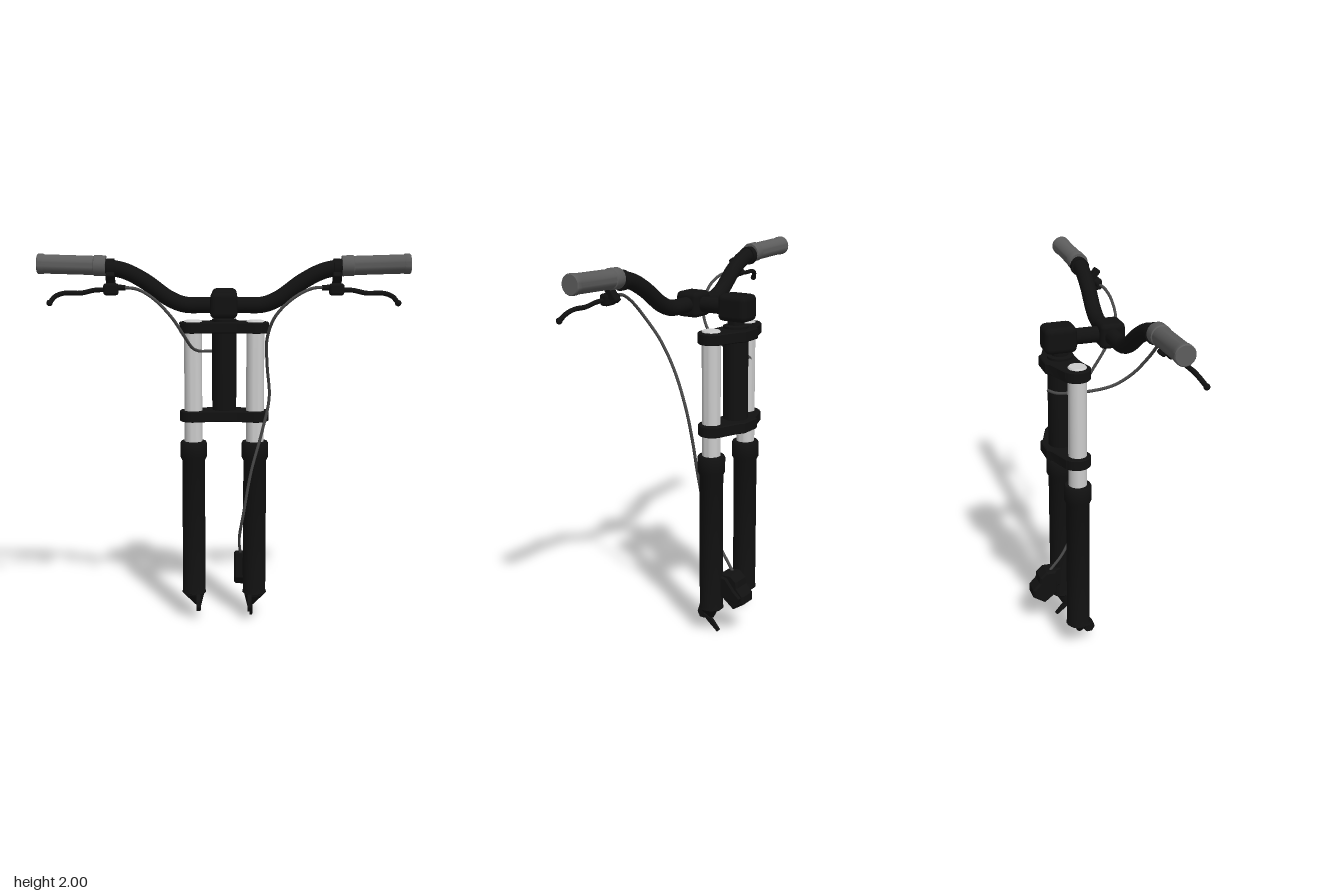
import * as THREE from 'three';
import { toCreasedNormals } from 'three/addons/utils/BufferGeometryUtils.js';
import { RoundedBoxGeometry } from 'three/addons/geometries/RoundedBoxGeometry.js';

const mat = (color) => new THREE.MeshStandardMaterial({ color });
const black = mat(0x111111), rubber = mat(0x5c5c5c), steel = mat(0xcccccc), cableMat = mat(0x4a4a4a);
const V = (p) => new THREE.Vector3(...p);

export function createModel() {
  const root = new THREE.Group();
  root.name = 'suspensionFork';

  const add = (name, geo, material, pos = [0, 0, 0]) => {
    const m = new THREE.Mesh(geo, material);
    m.name = name;
    m.position.set(...pos);
    root.add(m);
    return m;
  };
  // Upright turned part from [radius, y] pairs
  const turned = (name, pts, material, x, z, sides = 32) =>
    add(name, toCreasedNormals(new THREE.LatheGeometry(pts.map((p) => new THREE.Vector2(...p)), sides), 0.6), material, [x, 0, z]);
  // Smooth tube through points
  const tube = (name, pts, r, material, seg = 60, sides = 10) =>
    add(name, new THREE.TubeGeometry(new THREE.CatmullRomCurve3(pts.map(V)), seg, r, sides), material);
  // Side profile of [z, y] points, extruded across x about its centre
  const sidePlate = (name, pts, width, x, bevel = 0) => {
    const g = new THREE.ExtrudeGeometry(new THREE.Shape(pts.map((p) => new THREE.Vector2(...p))), {
      depth: width - 2 * bevel, bevelEnabled: bevel > 0, bevelSize: bevel, bevelThickness: bevel, bevelOffset: -bevel, bevelSegments: 1,
    });
    g.translate(0, 0, bevel - width / 2).rotateY(-Math.PI / 2);
    return add(name, g, black, [x, 0, 0]);
  };

  const legX = 0.166, legZ = -0.1;

  // Fork legs
  for (const s of [-1, 1]) {
    const x = s * legX;
    turned('stanchion', [[0, 0.95], [0.048, 0.95], [0.048, 1.645], [0.043, 1.652], [0, 1.652]], steel, x, legZ);
    turned('lowerLeg', [[0, 0.14], [0.055, 0.14], [0.066, 0.15], [0.062, 0.165], [0.062, 0.895], [0.072, 0.915],
      [0.072, 0.99], [0.066, 1.0], [0, 1.0]], black, x, legZ);

    // Foot tapers towards the wheel side
    const foot = new THREE.CylinderGeometry(0.055, 0.012, 0.07, 20);
    const p = foot.attributes.position;
    for (let i = 0; i < p.count; i++) if (p.getY(i) < 0) p.setX(i, p.getX(i) - s * 0.026);
    foot.computeVertexNormals();
    add('legFoot', foot, black, [x, 0.108, legZ + 0.015]);
    sidePlate('dropout', [[-0.03, 0.15], [-0.01, 0.12], [0, 0.09], [-0.015, 0.062], [-0.045, 0.06],
      [-0.075, 0.095], [-0.13, 0.13], [-0.13, 0.15]], 0.022, s * 0.14);
  }
  sidePlate('axleLever', [[-0.045, 0.09], [-0.06, 0.06], [-0.13, 0.003], [-0.142, 0.014], [-0.1, 0.065]], 0.014, 0.15);

  // Crowns: plan outline mirrored about the middle (x, -z)
  const crown = new THREE.Shape();
  crown.moveTo(-0.06, 0.235);
  crown.lineTo(-0.08, 0.215);
  crown.lineTo(-0.2, 0.172);
  crown.absarc(-legX, 0.105, 0.073, 2.05, 4.75, false);
  crown.quadraticCurveTo(-0.08, 0.06, 0, 0.06);
  crown.quadraticCurveTo(0.08, 0.06, legX - 0.003, 0.032);
  crown.absarc(legX, 0.105, 0.073, -1.61, 1.09, false);
  crown.lineTo(0.08, 0.215);
  crown.lineTo(0.06, 0.235);
  for (const [name, y] of [['lowerCrown', 1.11], ['upperCrown', 1.585]]) {
    const g = new THREE.ExtrudeGeometry(crown, {
      depth: 0.048, bevelSize: 0.005, bevelThickness: 0.005, bevelOffset: -0.005, bevelSegments: 1, curveSegments: 16,
    });
    add(name, toCreasedNormals(g.rotateX(-Math.PI / 2), 0.5), black, [0, y + 0.005, 0]);
  }

  // Steerer and stem
  turned('steererTube', [[0, 1.11], [0.065, 1.11], [0.065, 1.655], [0.043, 1.66], [0.043, 1.7], [0, 1.7]], black, 0, -0.14);
  add('stemHead', new RoundedBoxGeometry(0.135, 0.138, 0.168, 2, 0.03), black, [0, 1.748, -0.147]);
  add('stemArm', new THREE.CylinderGeometry(0.041, 0.041, 0.24, 24).rotateX(Math.PI / 2), black, [0, 1.745, -0.01]);
  add('barClamp', new RoundedBoxGeometry(0.138, 0.132, 0.132, 2, 0.026), black, [0, 1.745, 0.122]);

  // Handlebar
  const half = [[0.1, 1.745, 0.119], [0.2, 1.748, 0.123], [0.28, 1.78, 0.127], [0.4, 1.866, 0.135], [0.5, 1.917, 0.14], [0.62, 1.942, 0.143]];
  const mirrored = half.map(([x, y, z]) => [-x, y, z]).reverse();
  tube('handlebar', [...mirrored, [0, 1.745, 0.118], ...half], 0.041, black, 120, 20);

  for (const s of [-1, 1]) {
    // Grip with a collar on its inner end, tilted slightly upwards
    const pts = [[0, 0], [0.05, 0], [0.052, 0.005], [0.052, 0.058], [0.047, 0.062], [0.048, 0.068], [0.048, 0.31],
      [0.051, 0.315], [0.051, 0.34], [0.047, 0.345], [0, 0.345]];
    const grip = turned('grip', pts, rubber, 0, 0);
    grip.position.set(s * 0.595, 1.943, 0.145);
    grip.rotation.z = -s * (Math.PI / 2 - 0.03);

    // Brake lever, its bracket and blade
    add('leverClamp', new THREE.CylinderGeometry(0.049, 0.049, 0.035, 20).rotateZ(Math.PI / 2), black, [s * 0.57, 1.93, 0.142]);
    const bracket = add('leverBracket', new RoundedBoxGeometry(0.045, 0.11, 0.035, 1, 0.008), black, [s * 0.565, 1.865, 0.21]);
    bracket.rotation.x = 0.65;
    add('leverPivot', new RoundedBoxGeometry(0.075, 0.06, 0.05, 2, 0.015), black, [s * 0.562, 1.83, 0.235]);
    add('cableAdjuster', new THREE.CylinderGeometry(0.013, 0.016, 0.05, 12).rotateZ(s * Math.PI / 2), black, [s * 0.515, 1.838, 0.23]);
    const blade = [[0.57, 1.828, 0.238], [0.64, 1.826, 0.242], [0.71, 1.812, 0.25], [0.79, 1.812, 0.252], [0.835, 1.797, 0.262], [0.862, 1.765, 0.284]];
    tube('brakeLever', blade.map(([x, y, z]) => [s * x, y, z]), 0.012, black, 30, 8);
    add('leverTip', new THREE.SphereGeometry(0.016, 12, 8), black, [s * 0.862, 1.765, 0.284]);
  }

  // Brake cables
  tube('rearBrakeCable', [[-0.52, 1.84, 0.23], [-0.43, 1.83, 0.238], [-0.35, 1.785, 0.25], [-0.26, 1.69, 0.235],
    [-0.2, 1.59, 0.175], [-0.165, 1.525, 0.085], [-0.13, 1.495, -0.03], [-0.1, 1.485, -0.12],
    [-0.07, 1.48, -0.18], [-0.02, 1.48, -0.212]], 0.008, cableMat, 80, 8);
  tube('frontBrakeCable', [[0.52, 1.84, 0.23], [0.44, 1.835, 0.243], [0.35, 1.79, 0.255], [0.26, 1.7, 0.245],
    [0.22, 1.58, 0.175], [0.224, 1.43, 0.085], [0.238, 1.25, 0.008], [0.2, 1.06, -0.008], [0.145, 0.85, -0.005],
    [0.105, 0.61, -0.035], [0.083, 0.45, -0.11], [0.09, 0.34, -0.19]], 0.008, cableMat, 120, 8);

  // Brake caliper behind the left leg
  sidePlate('brakeCaliper', [[-0.155, 0.35], [-0.215, 0.352], [-0.252, 0.32], [-0.256, 0.285], [-0.293, 0.245],
    [-0.293, 0.2], [-0.225, 0.155], [-0.155, 0.21]], 0.1, 0.105, 0.01);
  sidePlate('caliperMount', [[-0.12, 0.34], [-0.19, 0.33], [-0.24, 0.27], [-0.28, 0.235], [-0.26, 0.2], [-0.12, 0.23]], 0.07, 0.135, 0.006);

  root.children.forEach((m) => { m.position.x -= 0.004; });
  return root;
}
